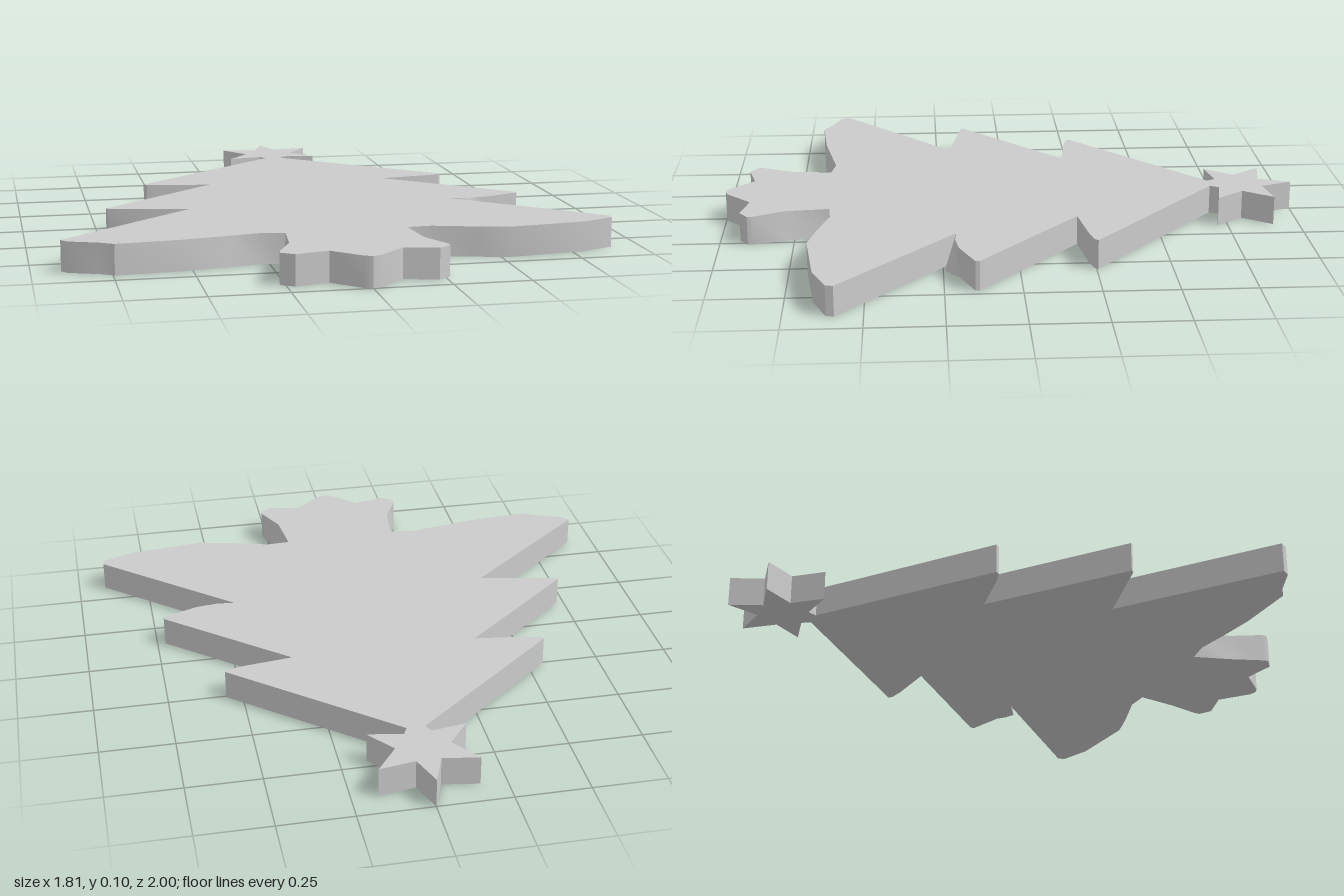
import * as THREE from 'three';
import { toCreasedNormals } from 'three/addons/utils/BufferGeometryUtils.js';

const THICKNESS = 0.1;

// Outline corners as [x, z], plus an optional [dx, dz] lean of the top edge.

// Half of the six-pointed star, down to the neck (mirrored)
const star = [[0.04, -0.89], [0.163, -0.91], [0.09, -0.81], [0.163, -0.715], [0.045, -0.735], [0.03, -0.705]];

// Top tier of branches (mirrored)
const topTier = [[0.555, -0.255], [0.545, -0.243], [0.49, -0.23], [0.32, -0.207]];

// Middle and bottom tiers differ between the two sides
const leftTiers = [
  [0.722, 0.138], [0.722, 0.152], [0.6, 0.2], [0.575, 0.225, -0.01, -0.02],
  [0.54, 0.245, -0.015, -0.035], [0.465, 0.205],
  [0.905, 0.59], [0.9, 0.615], [0.79, 0.66], [0.53, 0.69], [0.42, 0.665], [0.28, 0.625], [0.2, 0.63],
];
const rightTiers = [
  [-0.725, 0.145], [-0.715, 0.155], [-0.447, 0.207],
  [-0.905, 0.6], [-0.885, 0.625], [-0.79, 0.66], [-0.745, 0.688], [-0.53, 0.675, 0, -0.005],
  [-0.38, 0.65, 0, -0.012], [-0.28, 0.63, 0, -0.005], [-0.2, 0.64],
];

// Half of the flared trunk with its scalloped foot (mirrored)
const trunk = [
  [0.23, 0.77, -0.015, 0.01], [0.265, 0.885], [0.265, 0.905], [0.225, 0.933],
  [0.115, 0.907], [0.025, 0.992],
];

const mirror = (points) => points.map(([x, z, dx = 0, dz = 0]) => [-x, z, -dx, dz]);

function plaqueGeometry(outline) {
  const shape = new THREE.Shape(outline.map(([x, z]) => new THREE.Vector2(x, -z)));
  const geometry = new THREE.ExtrudeGeometry(shape, { depth: THICKNESS, bevelEnabled: false });
  geometry.rotateX(-Math.PI / 2);

  // Lean the few sloped side walls by shifting their top corners
  const leaning = outline.filter((p) => p[2] || p[3]);
  const pos = geometry.attributes.position;
  for (let i = 0; i < pos.count; i++) {
    if (pos.getY(i) < THICKNESS / 2) continue;
    const x = pos.getX(i), z = pos.getZ(i);
    const corner = leaning.find((p) => Math.hypot(p[0] - x, p[1] - z) < 1e-4);
    if (corner) pos.setXYZ(i, x + corner[2], THICKNESS, z + corner[3]);
  }
  return toCreasedNormals(geometry, 0.6);
}

export function createModel() {
  const group = new THREE.Group();
  group.name = 'treeOrnament';

  // Walk down the +x side from the star tip, then back up the -x side
  const leftSide = [...star, ...topTier, ...leftTiers, ...trunk];
  const rightSide = [...mirror(star), ...mirror(topTier), ...rightTiers, ...mirror(trunk)];
  const outline = [[0, -1], ...leftSide, [0, 1], ...rightSide.reverse()]
    .map(([x, z, dx = 0, dz = 0]) => [x, z, dx, dz]);

  const material = new THREE.MeshStandardMaterial({ color: 0xcccccc });
  const tree = new THREE.Mesh(plaqueGeometry(outline), material);
  tree.name = 'starToppedTree';
  group.add(tree);
  return group;
}
